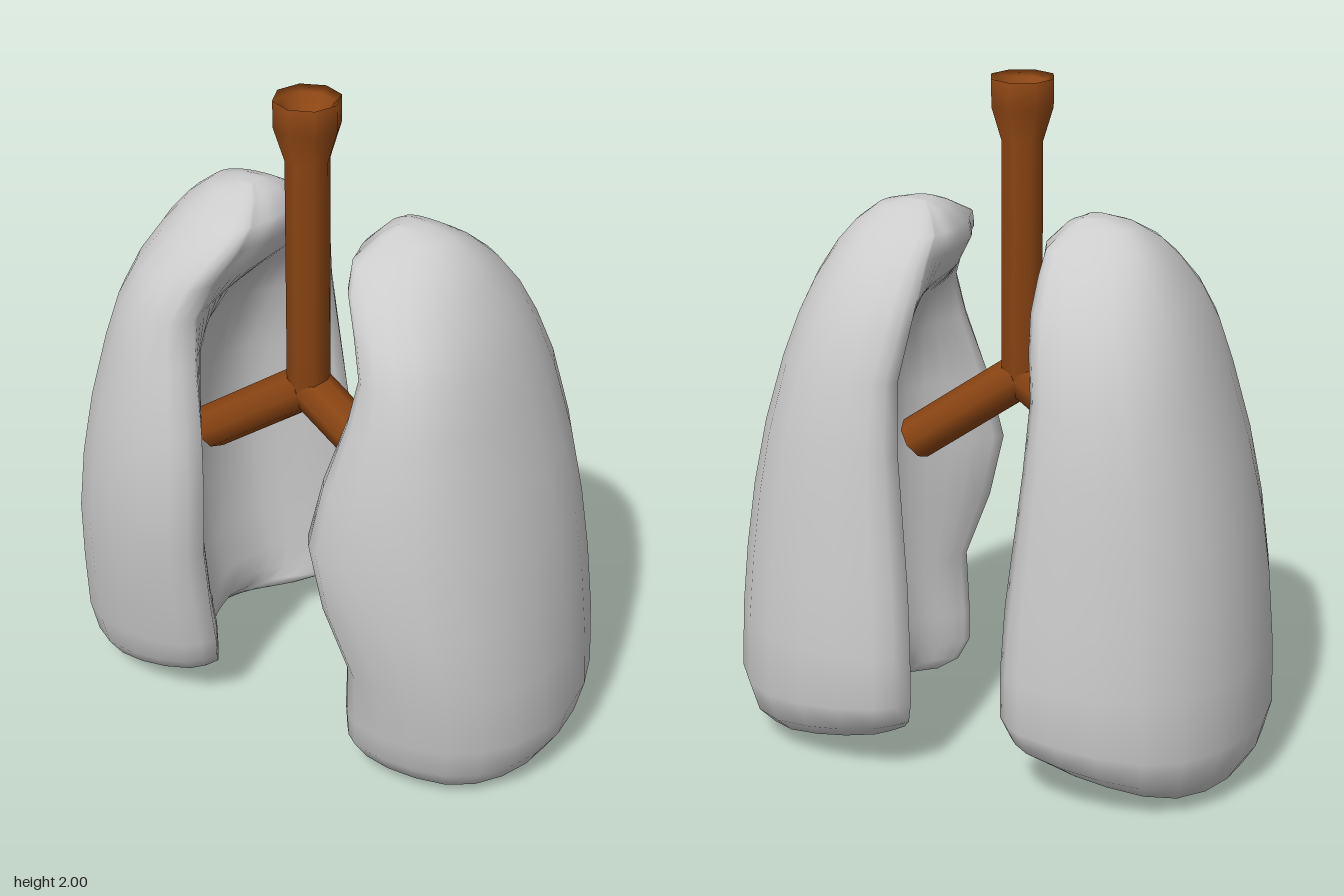
import * as THREE from 'three';

const grey = new THREE.MeshStandardMaterial({ color: 0xcccccc });
const brown = new THREE.MeshStandardMaterial({ color: 0x8b4513 });

// Lung levels: y, outer x, front z, back z, back rim x, hollow x
const LEVELS = [
  [0.00, 0.69, 0.26, -0.26, 0.28, 0.42],
  [0.035, 0.75, 0.35, -0.37, 0.20, 0.38],
  [0.10, 0.79, 0.39, -0.44, 0.16, 0.37],
  [0.20, 0.815, 0.41, -0.475, 0.14, 0.37],
  [0.40, 0.805, 0.44, -0.475, 0.14, 0.40],
  [0.60, 0.785, 0.47, -0.46, 0.15, 0.42],
  [0.80, 0.755, 0.475, -0.44, 0.17, 0.43],
  [1.00, 0.71, 0.46, -0.42, 0.19, 0.42],
  [1.20, 0.65, 0.42, -0.385, 0.20, 0.37],
  [1.33, 0.605, 0.385, -0.34, 0.18, 0.29],
  [1.43, 0.56, 0.34, -0.29, 0.17, 0.19],
  [1.52, 0.505, 0.27, -0.22, 0.17, 0.14],
  [1.58, 0.455, 0.20, -0.15, 0.17, 0.14],
  [1.63, 0.39, 0.10, -0.07, 0.21, 0.19],
  [1.65, 0.31, 0.05, -0.02, 0.24, 0.24],
];
// Front rim x per level; the left lung has a notch low down
const LEFT_RIM = [0.32, 0.28, 0.255, 0.26, 0.28, 0.21, 0.165, 0.21, 0.27, 0.29, 0.25, 0.19, 0.17, 0.21, 0.24];
const RIGHT_RIM = [0.30, 0.23, 0.21, 0.20, 0.20, 0.20, 0.19, 0.20, 0.24, 0.26, 0.23, 0.18, 0.17, 0.21, 0.24];
const N = 18; // steps along each half of a section

function spline(points) {
  return new THREE.CatmullRomCurve3(points.map(([x, z]) => new THREE.Vector3(x, 0, z))).getPoints(N);
}

// C-shaped section: outer wall front to back, and hollow inner wall front to back
function section([, xo, f, b, xb, xh], xf) {
  const wall = (x, z) => [[0, 0.82], [0.1, 0.97], [0.4, 1], [0.72, 0.86], [0.93, 0.5]]
    .map(([u, v]) => [x + u * (xo - x), v * z]);
  const lip = (x, z) => [[x, 0.82 * z], [x + 0.28 * (xh - x), 0.64 * z], [x + 0.85 * (xh - x), 0.35 * z]];
  return {
    outer: spline([...wall(xf, f), [xo, 0], ...wall(xb, b).reverse()]),
    inner: spline([...lip(xf, f), [xh, 0], ...lip(xb, b).reverse()]),
  };
}

function lung(name, side, rim, frontLift, backLift) {
  const pos = [], idx = [], ring = 2 * N;
  const tri = (a, b, c) => (side > 0 ? idx.push(a, b, c) : idx.push(a, c, b));
  LEVELS.forEach((level, r) => {
    const { outer, inner } = section(level, rim[r]);
    const loop = [...outer, ...inner.slice(1, N).reverse()];
    for (const p of loop) {
      // underside rises towards the middle of the body and arches between the rims
      const t = THREE.MathUtils.clamp(p.z / 0.6 + 0.5, 0, 1);
      const lift = THREE.MathUtils.lerp(backLift, frontLift, t) + 0.1 * Math.max(0, 1 - Math.abs(p.z) / 0.3);
      const y = level[0] + lift * Math.max(0, 1 - level[0] / 0.4)
        * THREE.MathUtils.clamp((0.66 - p.x) / 0.45, 0, 1);
      pos.push(side * p.x, y, p.z);
    }
  });
  for (let r = 0; r < LEVELS.length - 1; r++) {
    for (let i = 0; i < ring; i++) {
      const a = r * ring + i, b = r * ring + (i + 1) % ring;
      tri(a, b, a + ring);
      tri(b, b + ring, a + ring);
    }
  }
  // caps: strips between the outer and inner walls
  const top = (LEVELS.length - 1) * ring;
  for (let i = 0; i < N; i++) {
    const o = i, o2 = i + 1, n = (ring - i) % ring, n2 = ring - i - 1;
    tri(o, n, o2);
    tri(o2, n, n2);
    tri(top + o, top + o2, top + n);
    tri(top + o2, top + n2, top + n);
  }
  const geo = new THREE.BufferGeometry();
  geo.setAttribute('position', new THREE.Float32BufferAttribute(pos, 3));
  geo.setIndex(idx);
  geo.computeVertexNormals();
  const mesh = new THREE.Mesh(geo, grey);
  mesh.name = name;
  return mesh;
}

function bronchus(name, side) {
  const from = new THREE.Vector3(0, 1.11, 0.125);
  const to = new THREE.Vector3(side * 0.345, 0.86, 0.125);
  const dir = to.clone().sub(from);
  const mesh = new THREE.Mesh(new THREE.CylinderGeometry(0.067, 0.067, dir.length(), 8), brown);
  mesh.position.copy(from).add(to).multiplyScalar(0.5);
  mesh.quaternion.setFromUnitVectors(new THREE.Vector3(0, 1, 0), dir.normalize());
  mesh.name = name;
  return mesh;
}

export function createModel() {
  const group = new THREE.Group();
  group.name = 'lungs';
  group.add(lung('leftLung', 1, LEFT_RIM, 0.03, 0.09), lung('rightLung', -1, RIGHT_RIM, 0.12, 0.11));

  // Windpipe with a flared, cupped top
  const profile = [[0, 1.05], [0.064, 1.1], [0.064, 1.82], [0.095, 1.92], [0.096, 2.0], [0.075, 1.985], [0.05, 1.95], [0, 1.93]];
  const geo = new THREE.LatheGeometry(profile.map(([x, y]) => new THREE.Vector2(x, y)), 8);
  const windpipe = new THREE.Mesh(geo, brown);
  windpipe.position.z = 0.125;
  windpipe.name = 'windpipe';
  group.add(windpipe, bronchus('leftBronchus', 1), bronchus('rightBronchus', -1));
  return group;
}
